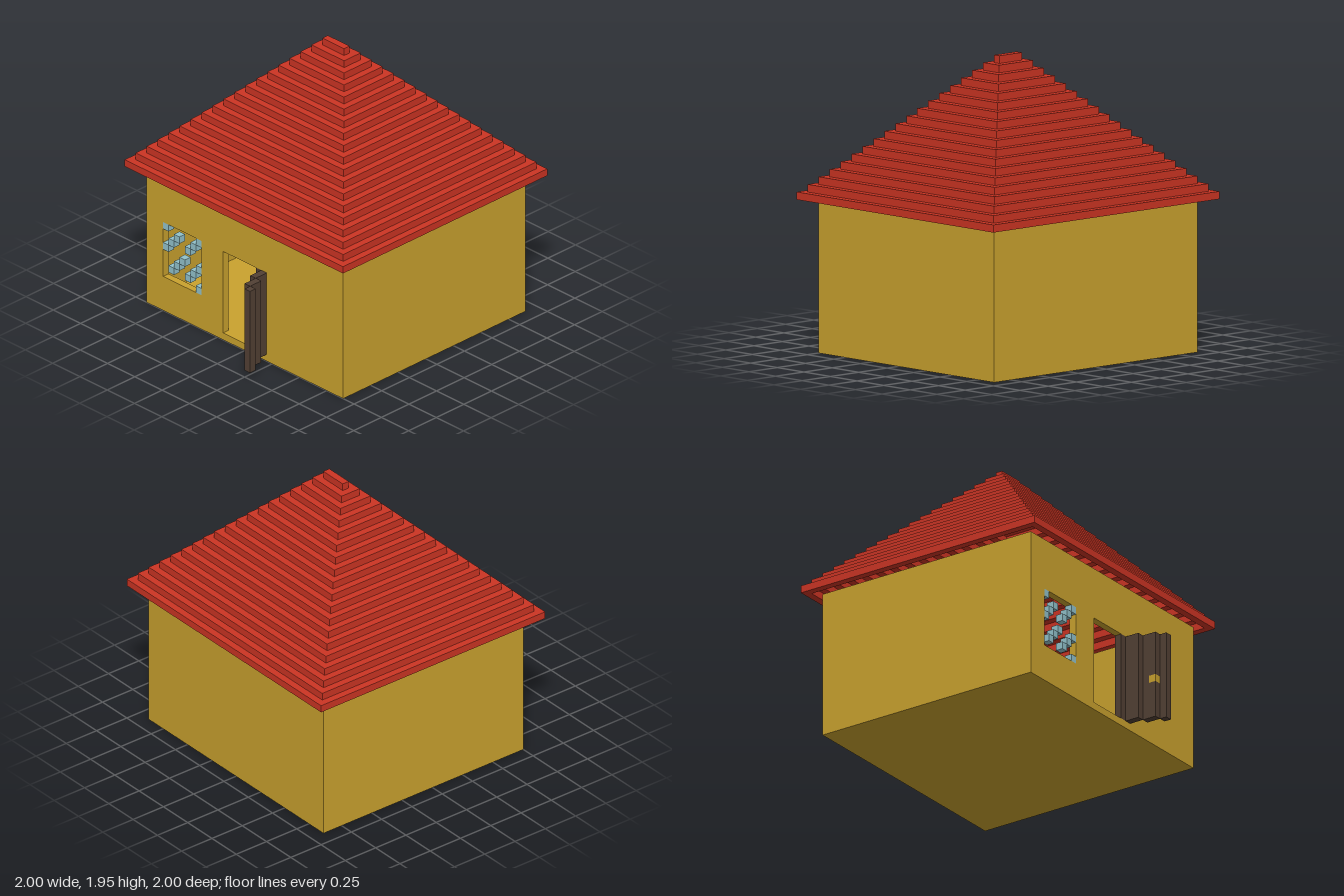
import * as THREE from 'three';

const U = 0.05; // size of one building block
const mat = (name, color) => {
  const m = new THREE.MeshStandardMaterial({ color });
  m.name = name;
  return m;
};

export function createModel() {
  const house = new THREE.Group();
  house.name = 'house';
  const yellow = mat('ochre', 0xcaa22e);
  const red = mat('roofRed', 0xcc3423);
  const brown = mat('darkWood', 0x524034);
  const blue = mat('paleGlass', 0x92c2cb);

  const group = (name) => {
    const g = new THREE.Group();
    g.name = name;
    house.add(g);
    return g;
  };
  const add = (parent, name, geometry, material) => {
    const m = new THREE.Mesh(geometry, material);
    m.name = name;
    parent.add(m);
    return m;
  };
  // Box given by its lower and upper corners
  const box = (parent, name, material, x0, x1, y0, y1, z0, z1) =>
    add(parent, name, new THREE.BoxGeometry(x1 - x0, y1 - y0, z1 - z0), material)
      .position.set((x0 + x1) / 2, (y0 + y1) / 2, (z0 + z1) / 2);
  const rect = (path, x0, x1, y0, y1) => {
    path.moveTo(x0, y0);
    path.lineTo(x1, y0);
    path.lineTo(x1, y1);
    path.lineTo(x0, y1);
    path.closePath();
    return path;
  };
  // Slab one block thick with rectangular openings
  const slab = (outer, holes) => {
    const shape = rect(new THREE.Shape(), ...outer);
    holes.forEach((h) => shape.holes.push(rect(new THREE.Path(), ...h)));
    return new THREE.ExtrudeGeometry(shape, { depth: U, bevelEnabled: false });
  };

  // Floor and hollow walls
  const walls = group('walls');
  box(walls, 'floor', yellow, -0.9, 0.9, 0, U, -0.9, 0.75);
  box(walls, 'backWall', yellow, -0.9, 0.9, U, 1, -0.9, -0.85);
  for (const [name, x] of [['rightWall', -0.9], ['leftWall', 0.85]])
    box(walls, name, yellow, x, x + U, U, 1, -0.85, 0.7);
  const front = slab([-0.9, 0.9, U, 1],
    [[-0.75, -0.4, 0.25, 0.65], [-0.2, 0.15, U + 0.0005, 0.65]]);
  add(walls, 'frontWall', front, yellow).position.z = 0.7;

  // Stepped roof made of stacked rings
  const roof = group('roof');
  for (let i = 0; i < 19; i++) {
    const x = 1 - U * i, z0 = -1 + U * i, z1 = 0.85 - U * i;
    const holes = i < 18 ? [[-x + U, x - U, -z1 + U, -z0 - U]] : [];
    const ring = add(roof, 'roofStep' + (i + 1), slab([-x, x, -z1, -z0], holes), red);
    ring.rotation.x = -Math.PI / 2;
    ring.position.y = 1 + U * i;
  }

  // Scattered glass blocks, as column and row inside the window
  const windowGlass = group('windowGlass');
  const cells = [[0, 7], [6, 7], [2, 6], [5, 6], [1, 5], [4, 5], [0, 4],
    [3, 3], [6, 3], [2, 2], [5, 2], [1, 1], [4, 1], [6, 0]];
  for (const [c, r] of cells) {
    const x = -0.75 + c * U, y = 0.25 + r * U;
    box(windowGlass, 'glassBlock', blue, x, x + U, y, y + U, 0.7, 0.75);
  }

  // Open door in staggered planks, with the knob set into one plank
  const door = group('door');
  for (const [x, z0, z1] of [[0.1, 0.7, 0.75], [0.15, 0.75, 0.85], [0.25, 0.95, 1]])
    box(door, 'doorPlank', brown, x, x + U, U, 0.65, z0, z1);
  box(door, 'doorPlank', brown, 0.2, 0.25, U, 0.65, 0.85, 0.9);
  box(door, 'doorPlankLower', brown, 0.2, 0.25, U, 0.3, 0.9, 0.95);
  box(door, 'doorPlankUpper', brown, 0.2, 0.25, 0.35, 0.65, 0.9, 0.95);
  box(door, 'doorKnob', yellow, 0.2, 0.25, 0.3, 0.35, 0.9, 0.95);

  // Chest against the back wall: body, stepped lid and clasp
  const chest = group('chest');
  box(chest, 'chestBody', brown, -0.3, 0.25, U, 0.25, -0.85, -0.45);
  box(chest, 'chestLid', brown, -0.3, 0.25, 0.25, 0.35, -0.85, -0.44);
  for (let i = 0; i < 3; i++)
    box(chest, 'lidStep', brown, -0.3, 0.25, 0.35 + i * U, 0.4 + i * U, -0.8 + i * U, -0.5 - i * U);
  for (const [x, y] of [[-0.1, 0.2], [0, 0.2], [-0.05, 0.15]])
    box(chest, 'clasp', yellow, x, x + U, y, y + U, -0.45, -0.442);

  return house;
}
